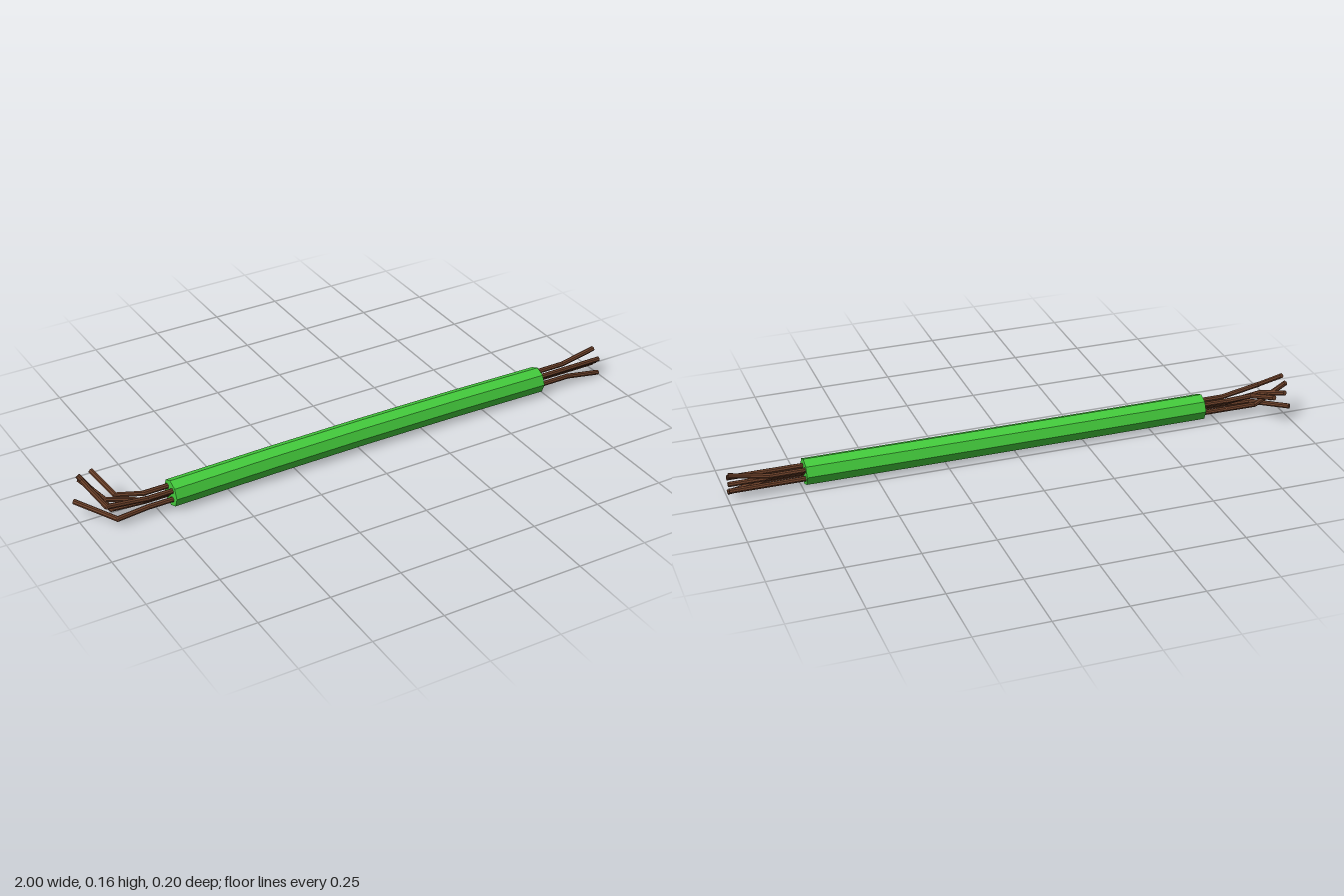
import * as THREE from 'three';

const V = (x, y, z) => new THREE.Vector3(x, y, z);
const green = new THREE.MeshStandardMaterial({ color: 0x44cc3c, flatShading: true });
const brown = new THREE.MeshStandardMaterial({ color: 0x6b4029, flatShading: true });
const WIRE_RADIUS = 0.009;

// Chain of thin cylinders with small balls closing the elbows
function wire(name, points) {
  const group = new THREE.Group();
  group.name = name;
  for (let i = 0; i < points.length - 1; i++) {
    const a = points[i], b = points[i + 1];
    const dir = b.clone().sub(a);
    const rod = new THREE.Mesh(new THREE.CylinderGeometry(WIRE_RADIUS, WIRE_RADIUS, dir.length(), 8), brown);
    rod.position.copy(a).add(b).multiplyScalar(0.5);
    rod.quaternion.setFromUnitVectors(V(0, 1, 0), dir.normalize());
    rod.name = 'wireSegment';
    group.add(rod);
    if (i > 0) {
      const elbow = new THREE.Mesh(new THREE.SphereGeometry(WIRE_RADIUS, 8, 6), brown);
      elbow.position.copy(a);
      elbow.name = 'wireElbow';
      group.add(elbow);
    }
  }
  return group;
}

export function createModel() {
  const model = new THREE.Group();
  model.name = 'cable';

  // Octagonal sheath, bowed very slightly at the middle
  const geo = new THREE.CylinderGeometry(0.047, 0.047, 1.44, 8, 4);
  geo.rotateZ(-Math.PI / 2);
  const p = geo.attributes.position;
  for (let i = 0; i < p.count; i++) {
    const bow = 1 - (p.getX(i) / 0.72) ** 2;
    p.setY(i, p.getY(i) + 0.003 * bow);
    p.setZ(i, p.getZ(i) - 0.007 * bow);
  }
  geo.computeVertexNormals();
  const sheath = new THREE.Mesh(geo, green);
  sheath.name = 'sheath';
  sheath.position.set(0.018, 0.05, 0.058);
  model.add(sheath);

  // Five cores: base (y, z), left elbow and tip, height of the tip at the +x end
  const cores = [
    { y: 0.066, z: 0.072, bend: V(-0.935, 0.088, 0.08), tip: V(-0.98, 0.155, -0.006), end: 0.066 },
    { y: 0.066, z: 0.037, bend: V(-0.88, 0.08, 0.02), tip: V(-0.912, 0.12, -0.093), end: 0.092 },
    { y: 0.05, z: 0.054, bend: V(-0.92, 0.082, 0.03), tip: V(-0.965, 0.118, -0.068), end: 0.05 },
    { y: 0.034, z: 0.073, bend: V(-0.9, 0.028, 0.078), tip: V(-0.995, 0.053, -0.05), end: 0.011 },
    { y: 0.034, z: 0.037, bend: V(-0.9, 0.038, 0.03), tip: V(-0.975, 0.147, -0.048), end: 0.034 },
  ];
  cores.forEach(({ y, z, bend, tip, end }, i) => {
    model.add(wire('leftWire' + i, [V(-0.66, y, z), V(-0.79, y, z), bend, tip]));
    model.add(wire('rightWire' + i, [V(0.7, y, z), V(0.86, y, z), V(0.995, end, z)]));
  });
  return model;
}
